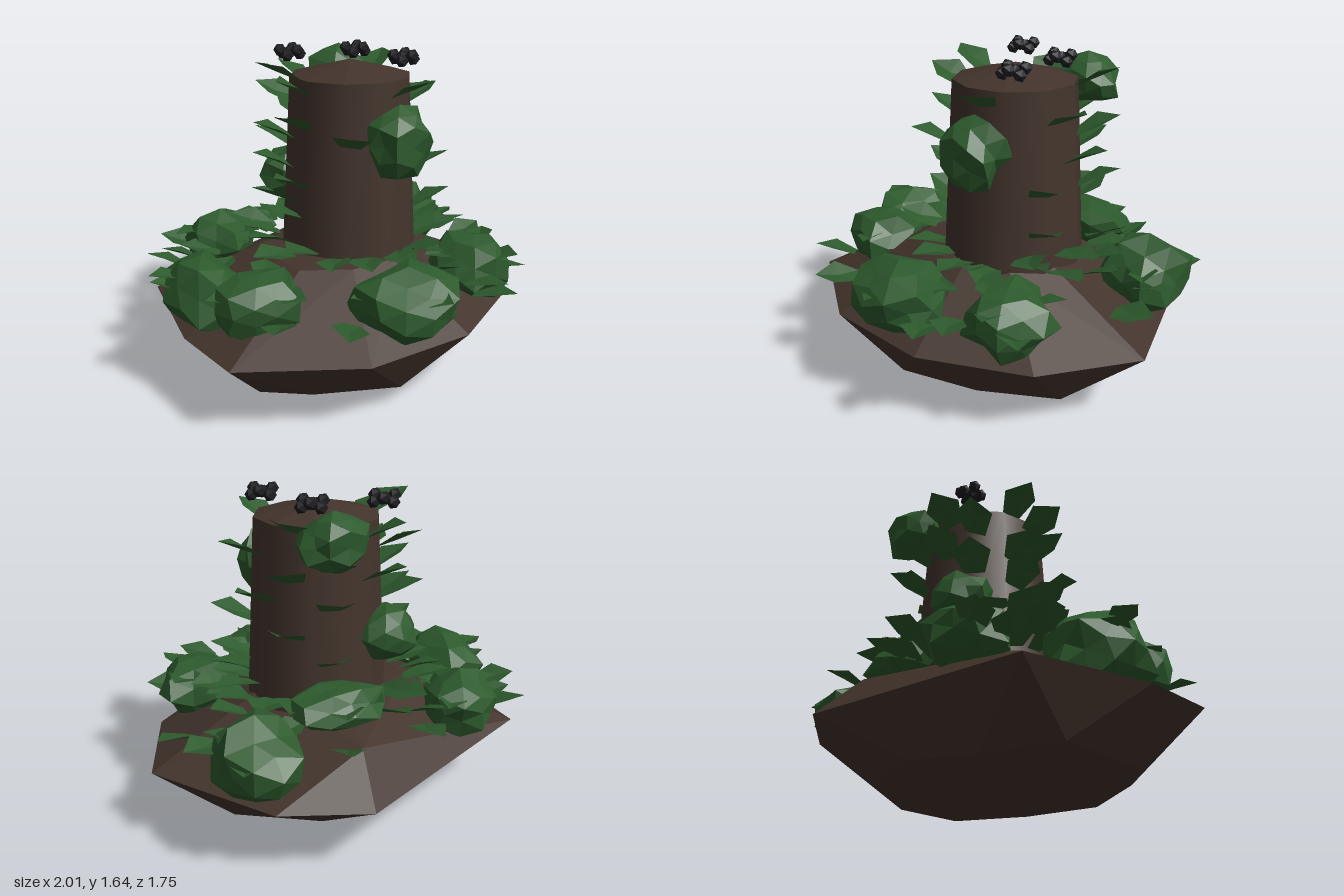
import * as THREE from 'three';
import { ConvexGeometry } from 'three/addons/geometries/ConvexGeometry.js';

const mat = (name, color, extra = {}) => {
  const m = new THREE.MeshStandardMaterial({ color, ...extra });
  m.name = name;
  return m;
};

// Small seeded random source
function seeded(seed) {
  let s = seed;
  return () => (s = (s * 16807) % 2147483647) / 2147483647;
}

// Five-sided cupped leaf: root at the origin, tip along +z
function leafGeometry() {
  const rim = [[-0.045, 0, 0], [0.045, 0, 0], [0.092, 0.025, 0.12], [0.005, 0.005, 0.225], [-0.09, 0.025, 0.13]];
  const mid = [0, 0.0, 0.11], out = [];
  rim.forEach((p, i) => out.push(...mid, ...rim[(i + 1) % rim.length], ...p));
  const g = new THREE.BufferGeometry();
  g.setAttribute('position', new THREE.Float32BufferAttribute(out, 3));
  g.computeVertexNormals();
  return g;
}

// Crumpled faceted bush: every corner moved in or out
function bushGeometry(seed) {
  const g = new THREE.IcosahedronGeometry(1, 1);
  const p = g.attributes.position;
  for (let i = 0; i < p.count; i++) {
    const x = p.getX(i), y = p.getY(i), z = p.getZ(i);
    const h = Math.sin(Math.round(x * 50) * 12.9 + Math.round(y * 50) * 78.2 + Math.round(z * 50) * 37.7 + seed * 5.1) * 437.5;
    const k = 0.8 + 0.36 * (h - Math.floor(h));
    p.setXYZ(i, x * k, y * k, z * k);
  }
  g.computeVertexNormals();
  return g;
}

export function createModel() {
  const group = new THREE.Group();
  const bark = mat('bark brown', 0x43342c);
  const earth = mat('earth brown', 0x43342c, { flatShading: true });
  const green = mat('leaf green', 0x2d5a2d, { flatShading: true, side: THREE.DoubleSide });
  const black = mat('berry black', 0x1c1c21, { flatShading: true });
  const rand = seeded(4217);

  const add = (parent, name, geo, material) => {
    const m = new THREE.Mesh(geo, material);
    m.name = name;
    parent.add(m);
    return m;
  };

  // Rocky mound: hull of an uneven rim, a lower ring, a higher ring and both poles
  const rim = [[-0.3, 0.78], [0.27, 0.74], [0.75, 0.44], [0.99, -0.03], [0.67, -0.66], [0.29, -0.88], [-0.84, -0.54], [-0.92, 0.1], [-0.86, 0.5]];
  const foot = [[-0.02, 0.6], [0.36, 0.44], [0.68, 0.19], [0.64, -0.18], [0.33, -0.5], [-0.03, -0.555], [-0.37, -0.41], [-0.725, -0.225], [-0.63, 0.3], [-0.42, 0.45]];
  const moundPoints = [
    new THREE.Vector3(-0.02, 0, -0.02),
    ...foot.map(([x, z]) => new THREE.Vector3(x, z < -0.45 ? 0.125 : 0.095, z)),
    ...rim.map(([x, z]) => new THREE.Vector3(x, 0.365, z)),
    ...rim.map(([x, z]) => new THREE.Vector3(x * 0.42, 0.635, z * 0.42)),
    new THREE.Vector3(0.22, 0.57, -0.67),
    new THREE.Vector3(0.05, 0.66, -0.05),
  ];
  add(group, 'mound', new ConvexGeometry(moundPoints), earth);

  // Tapered trunk with a shallow pointed top
  const trunk = new THREE.Group();
  trunk.name = 'trunk';
  trunk.position.set(0.08, 0, -0.06);
  group.add(trunk);
  add(trunk, 'trunkSide', new THREE.CylinderGeometry(0.308, 0.358, 0.9, 10, 1, true), bark).position.y = 1.06;
  add(trunk, 'trunkTop', new THREE.ConeGeometry(0.308, 0.075, 10, 1, true), earth).position.y = 1.5475;

  // Bushes: centre, then half sizes
  const bushes = [
    [-0.76, 0.51, -0.04, 0.21, 0.2, 0.26],
    [-0.6, 0.55, 0.28, 0.21, 0.16, 0.2],
    [0.0, 0.55, 0.61, 0.26, 0.17, 0.22],
    [0.54, 0.55, 0.4, 0.22, 0.18, 0.21],
    [0.65, 0.55, -0.45, 0.22, 0.19, 0.24],
    [-0.46, 0.58, -0.53, 0.21, 0.15, 0.2],
    [0.16, 1.22, 0.27, 0.17, 0.17, 0.14],
    [0.22, 1.47, -0.42, 0.18, 0.13, 0.14],
    [-0.13, 0.96, -0.35, 0.17, 0.14, 0.14],
    [0.22, 0.7, -0.47, 0.24, 0.12, 0.15],
  ];
  bushes.forEach(([x, y, z, sx, sy, sz], i) => {
    const b = add(group, 'bush', bushGeometry(i + 1), green);
    b.position.set(x, y, z);
    b.scale.set(sx, sy, sz);
  });

  // Leaves: root position, heading in degrees (0 = front, 90 = left side), upward tilt, size
  const leafGeo = leafGeometry();
  const leaf = (x, y, z, heading, tilt, size = 1) => {
    const m = add(group, 'leaf', leafGeo, green);
    m.position.set(x, y, z);
    m.rotation.order = 'YXZ';
    m.rotation.set(-tilt, THREE.MathUtils.degToRad(heading), (rand() - 0.5) * 0.5);
    m.scale.setScalar(size);
  };
  const trunkLeaf = (heading, y) => {
    const a = THREE.MathUtils.degToRad(heading);
    const r = 0.28 + (1.51 - y) * 0.055;
    leaf(0.08 + Math.sin(a) * r, y, -0.06 + Math.cos(a) * r, heading, 0.4, 1.05);
  };

  // Climbing leaves on the trunk
  const climbing = [
    [-75, [1.44, 1.27, 0.98, 0.82]],
    [-98, [1.5, 1.21, 1.06, 0.88]],
    [85, [1.34]],
    [102, [1.14]],
    [68, [1.0, 0.8]],
    [128, [1.48, 1.25, 0.98]],
    [160, [1.47, 1.3, 1.12, 0.86]],
    [200, [1.44, 1.24]],
    [225, [1.36, 1.12]],
    [20, [1.43]],
    [-30, [1.2]],
  ];
  for (const [heading, heights] of climbing) heights.forEach((y) => trunkLeaf(heading, y));

  // Leaf litter around the trunk foot
  for (let i = 0; i < 17; i++) {
    const h = 55 + i * 15.5, a = THREE.MathUtils.degToRad(h), r = 0.33 + rand() * 0.12;
    leaf(0.08 + Math.sin(a) * r, 0.66 + rand() * 0.06, -0.06 + Math.cos(a) * r, h + rand() * 40 - 20, 0.1 + rand() * 0.2);
  }
  for (const h of [-40, -20, 5, 28]) {
    const a = THREE.MathUtils.degToRad(h);
    leaf(0.08 + Math.sin(a) * 0.33, 0.65, -0.06 + Math.cos(a) * 0.33, h, 0.05);
  }

  // Leaves spread over the mound, pointing outwards
  const spread = [
    [-0.65, -0.66], [-0.83, -0.38], [-0.13, -0.73], [-0.2, -0.6], [0.34, -0.7], [0.82, -0.3], [0.87, -0.06],
    [-0.65, 0.56], [-0.37, 0.73], [0.36, 0.79], [0.42, 0.66], [0.67, 0.5], [-0.9, -0.08],
    [-0.62, -0.42], [-0.7, -0.5], [-0.48, -0.36], [0.62, -0.15], [0.5, -0.33], [0.45, 0.18], [0.25, 0.36],
    [0.25, 0.55], [0.55, 0.05], [0.0, -0.6],
  ];
  for (const [x, z] of spread) {
    const r = Math.hypot(x, z), h = Math.atan2(x, z) * 180 / Math.PI, k = (r - 0.1) / r;
    leaf(x * k, 0.77 - 0.3 * r + rand() * 0.05, z * k, h + rand() * 24 - 12, rand() * 0.35, 0.95);
  }

  // Leaves sprouting from the mound bushes
  for (const [x, y, z, sx, sy, sz] of bushes.slice(0, 6)) {
    for (let i = 0; i < 3; i++) {
      const a = i * 2.1 + rand() * 0.6;
      leaf(x + Math.sin(a) * sx * 0.4, y + sy * (0.1 + rand() * 0.5), z + Math.cos(a) * sz * 0.4, a * 57.3, rand() * 0.3 - 0.05, 0.8);
    }
  }

  // Berry clusters above the trunk: one in the middle, six around
  const berry = new THREE.IcosahedronGeometry(0.033, 0);
  for (const [x, z] of [[-0.13, -0.31], [0.21, -0.23], [0.27, 0.13]]) {
    const cluster = new THREE.Group();
    cluster.name = 'berryCluster';
    cluster.position.set(x, 1.603, z);
    group.add(cluster);
    add(cluster, 'berry', berry, black);
    for (let i = 0; i < 6; i++) {
      const a = i * Math.PI / 3 + 0.2;
      add(cluster, 'berry', berry, black).position.set(Math.cos(a) * 0.052, i % 2 ? 0.012 : -0.012, Math.sin(a) * 0.052);
    }
  }
  return group;
}
